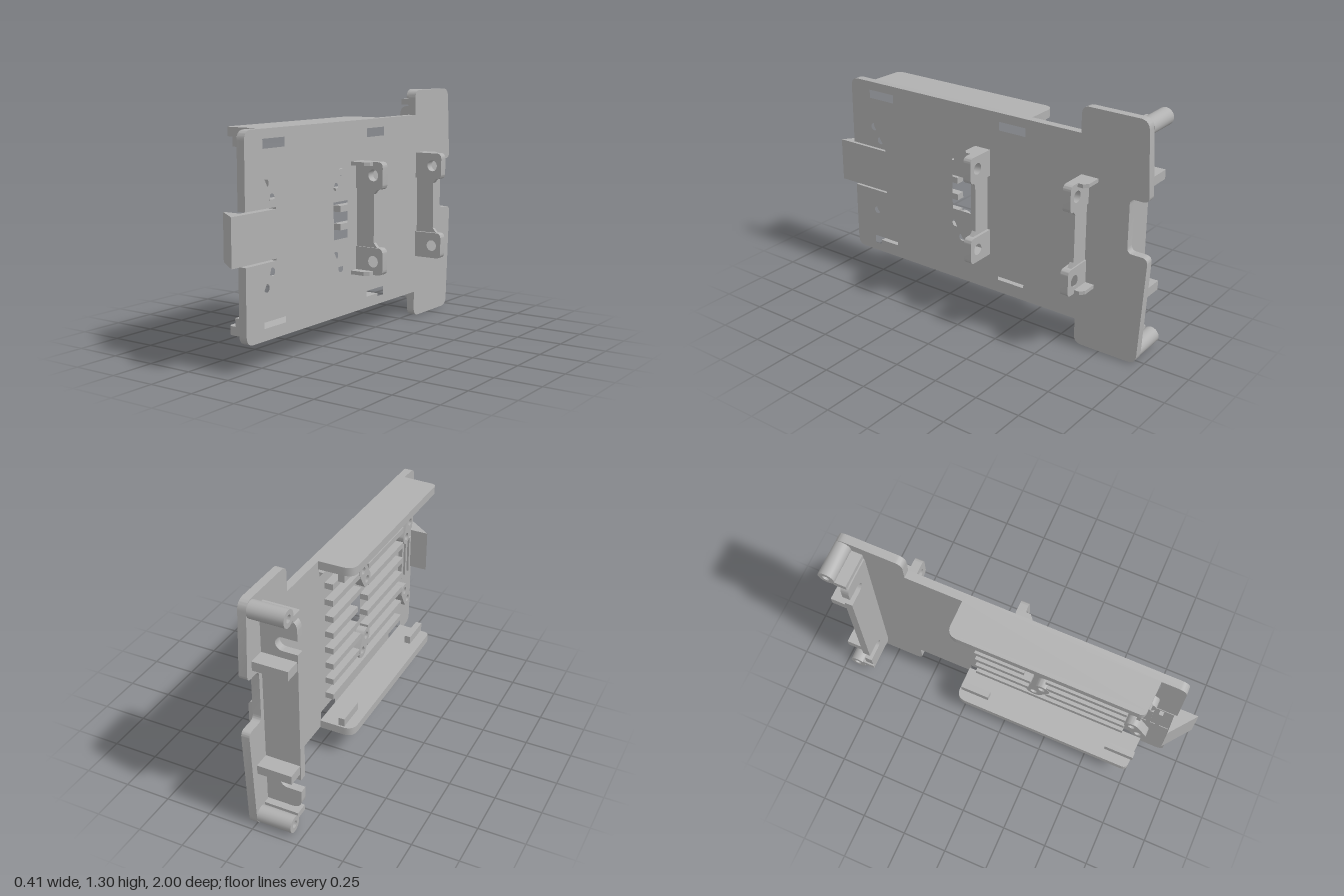
import * as THREE from 'three';
import { toCreasedNormals } from 'three/addons/utils/BufferGeometryUtils.js';

const MID = 0.655;            // height of the mirror plane
const BACK = -0.012, FACE = 0.033; // plate surfaces along x

// Closed outline from [u, v, cornerRadius] points
function outline(points) {
  const s = new THREE.Shape(), n = points.length;
  points.forEach(([u, v, r = 0], i) => {
    const p = new THREE.Vector2(u, v);
    const toward = (q) => new THREE.Vector2(q[0], q[1]).sub(p).setLength(r).add(p);
    const a = toward(points[(i + n - 1) % n]), b = toward(points[(i + 1) % n]);
    if (i === 0) s.moveTo(a.x, a.y); else s.lineTo(a.x, a.y);
    if (r) s.quadraticCurveTo(u, v, b.x, b.y);
  });
  s.closePath();
  return s;
}
const circle = (u, v, r) => new THREE.Path().absarc(u, v, r, 0, Math.PI * 2, true);

function extrude(shape, depth) {
  const g = new THREE.ExtrudeGeometry(shape, { depth, bevelEnabled: false, curveSegments: 10 });
  return toCreasedNormals(g, 0.6);
}
// Outline in (-z, y), pushed along x
const alongX = (shape, x0, x1) => extrude(shape, x1 - x0).rotateY(Math.PI / 2).translate(x0, 0, 0);
// Outline in (x, -z), pushed along y
const alongY = (shape, y0, y1) => extrude(shape, y1 - y0).rotateX(-Math.PI / 2).translate(0, y0, 0);
// Outline in (x, y), pushed along z
const alongZ = (shape, z0, z1) => extrude(shape, z1 - z0).translate(0, 0, z0);
const box = (x0, x1, y0, y1, z0, z1) =>
  new THREE.BoxGeometry(x1 - x0, y1 - y0, z1 - z0).translate((x0 + x1) / 2, (y0 + y1) / 2, (z0 + z1) / 2);

export function createModel() {
  const model = new THREE.Group();
  model.name = 'mountingTray';
  const grey = new THREE.MeshStandardMaterial({ color: 0xb0b0b0 });
  grey.name = 'grey plastic';
  const add = (name, geometry) => {
    const m = new THREE.Mesh(geometry, grey);
    m.name = name;
    model.add(m);
  };
  const flipY = (y, side) => MID + side * (y - MID);
  // Box on the upper half (side 1) or its mirror image (side -1)
  const sideBox = (side, x0, x1, y0, y1, z0, z1) => {
    const a = flipY(y0, side), b = flipY(y1, side);
    return box(x0, x1, Math.min(a, b), Math.max(a, b), z0, z1);
  };

  // Base plate with wide rear flange and a latch tongue between two cuts
  const plate = outline([
    [0.9, 0.145, 0.05], [0.9, 0.525], [0.67, 0.525], [0.67, 0.535], [0.89, 0.535],
    [0.89, 0.777], [0.67, 0.777], [0.67, 0.787], [0.9, 0.787], [0.9, 1.168, 0.05],
    [-0.6, 1.168], [-0.6, 1.308, 0.045], [-0.965, 1.308, 0.05], [-0.99, 0.895, 0.035],
    [-0.885, 0.895, 0.03], [-0.885, 0.605, 0.03], [-1, 0.605, 0.035], [-0.967, 0.003, 0.05],
    [-0.6, 0.003, 0.045], [-0.6, 0.145],
  ].map(([z, y, r]) => [-z, y, r]));
  const cut = (z0, z1, y0, y1) => plate.holes.push(outline([[-z0, y0], [-z1, y0], [-z1, y1], [-z0, y1]]));
  cut(0.07, 0.195, 0.558, 0.755);
  const clipRanges = [[0.6, 0.768], [-0.275, -0.11]];
  for (const [z0, z1] of clipRanges) {
    cut(z0, z1, 1.073, 1.12);
    cut(z0, z1, 0.19, 0.237);
  }
  // Pairs of screw holes: [outer z, inner z]
  const screwPairs = [[0.745, 0.702], [0.132, 0.177]];
  for (const side of [1, -1]) {
    for (const [zo, zi] of screwPairs) {
      plate.holes.push(circle(-zo, flipY(0.908, side), 0.021));
      plate.holes.push(circle(-zi, flipY(0.835, side), 0.021));
    }
  }
  add('basePlate', alongX(plate, BACK, FACE));

  // Latch wedge at the front and grip bars on the tongue
  add('latchWedge', alongY(outline([[-0.115, -0.885], [FACE, -1], [FACE, -0.885]]), 0.535, 0.777));
  for (const z of [0.71, 0.76, 0.81]) add('latchGripBar', box(-0.035, BACK, 0.545, 0.767, z, z + 0.022));

  // Cooling ribs, interrupted around the window
  for (let i = 0; i < 8; i++) {
    const y = MID + (i - 3.5) * 0.097;
    const parts = Math.abs(y - MID) < 0.1 ? [[-0.22, 0.07], [0.195, 0.66]] : [[-0.22, 0.66]];
    const holesY = [0.908, 0.835].map((h) => (y > MID ? h : flipY(h, -1)));
    // Leave the screw bosses clear
    const nearBoss = holesY.some((h) => Math.abs(h - y) < 0.045);
    const spans = nearBoss ? [[-0.22, 0.11], [0.2, 0.66]] : parts;
    for (const [z0, z1] of spans) add('coolingRib', box(-0.06, BACK, y - 0.017, y + 0.017, z0, z1));
  }

  for (const side of [1, -1]) {
    // Screw bosses: pill shapes around each pair of holes
    for (const [zo, zi] of screwPairs) {
      const a = new THREE.Vector2(-zo, flipY(0.908, side)), b = new THREE.Vector2(-zi, flipY(0.835, side));
      const t = Math.atan2(b.y - a.y, b.x - a.x), r = 0.044;
      const pill = new THREE.Shape();
      pill.absarc(a.x, a.y, r, t + Math.PI / 2, t + Math.PI * 1.5, false);
      pill.absarc(b.x, b.y, r, t - Math.PI / 2, t + Math.PI / 2, false);
      pill.closePath();
      pill.holes.push(circle(a.x, a.y, 0.021), circle(b.x, b.y, 0.021));
      add('screwBoss', alongX(pill, -0.062, BACK));
    }

    // Side rail with inward clips
    const rail = outline([[BACK, 0.285], [-0.206, 0.285, 0.06], [-0.206, -0.755, 0.03], [BACK, -0.765]]);
    const y0 = Math.min(flipY(1.122, side), flipY(1.168, side));
    add('sideRail', alongY(rail, y0, y0 + 0.046));
    for (const [z0, z1] of clipRanges) add('railClip', sideBox(side, -0.15, -0.115, 1.075, 1.123, z0, z1));

    // Hollow rear post with fin
    const py = flipY(1.256, side);
    const post = new THREE.Shape().absarc(0.925, py, 0.045, 0, Math.PI * 2, false);
    post.holes.push(circle(0.925, py, 0.02));
    add('rearPost', alongX(post, -0.2, BACK));
    add('postFin', sideBox(side, -0.2, BACK, 1.212, 1.245, -0.89, -0.82));

    // Square peg on the flange
    add('flangePeg', sideBox(side, -0.2, BACK, 0.935, 0.985, -0.945, -0.855));
  }

  // Rear cross wall with a round-ended cable notch at each end
  const wall = new THREE.Shape();
  wall.moveTo(BACK, 0.105);
  wall.lineTo(-0.15, 0.105);
  wall.quadraticCurveTo(-0.204, 0.105, -0.204, 0.16);
  for (const y of [0.25, 1.06]) {
    wall.lineTo(-0.204, y - 0.037);
    wall.lineTo(-0.125, y - 0.037);
    wall.absarc(-0.125, y, 0.037, -Math.PI / 2, Math.PI / 2, false);
    wall.lineTo(-0.204, y + 0.037);
  }
  wall.lineTo(-0.204, 1.15);
  wall.quadraticCurveTo(-0.204, 1.205, -0.15, 1.205);
  wall.lineTo(BACK, 1.205);
  wall.closePath();
  add('rearCrossWall', alongZ(wall, -0.858, -0.815));

  // Two brackets on the outer face: drilled ears, outer gussets and a thin web
  for (const [z, dir] of [[-0.055, 1], [-0.61, -1]]) {
    const span = (a, b) => [Math.min(z + dir * a, z + dir * b), Math.max(z + dir * a, z + dir * b)];
    for (const side of [1, -1]) {
      const ear = outline([[FACE, 0.81], [0.2, 0.81, 0.03], [0.2, 0.955, 0.03], [FACE, 0.955]]
        .map(([x, y, r]) => [x, flipY(y, side), r]));
      ear.holes.push(circle(0.141, flipY(0.884, side), 0.031));
      add('bracketEar', alongZ(ear, ...span(0, 0.046)));
      const gusset = outline([[FACE, 0.02], [0.14, 0.02], [0.14, 0.075], [0.115, 0.096], [FACE, 0.096]]
        .map(([x, d]) => [x, -(z + dir * d)]));
      const g0 = Math.min(flipY(0.935, side), flipY(0.955, side));
      add('bracketGusset', alongY(gusset, g0, g0 + 0.02));
    }
    const web = outline([[FACE, 0.495], [0.165, 0.495], [0.14, 0.525], [0.14, 0.785], [0.165, 0.815], [FACE, 0.815]]);
    add('bracketWeb', alongZ(web, ...span(0.016, 0.038)));
  }
  return model;
}
